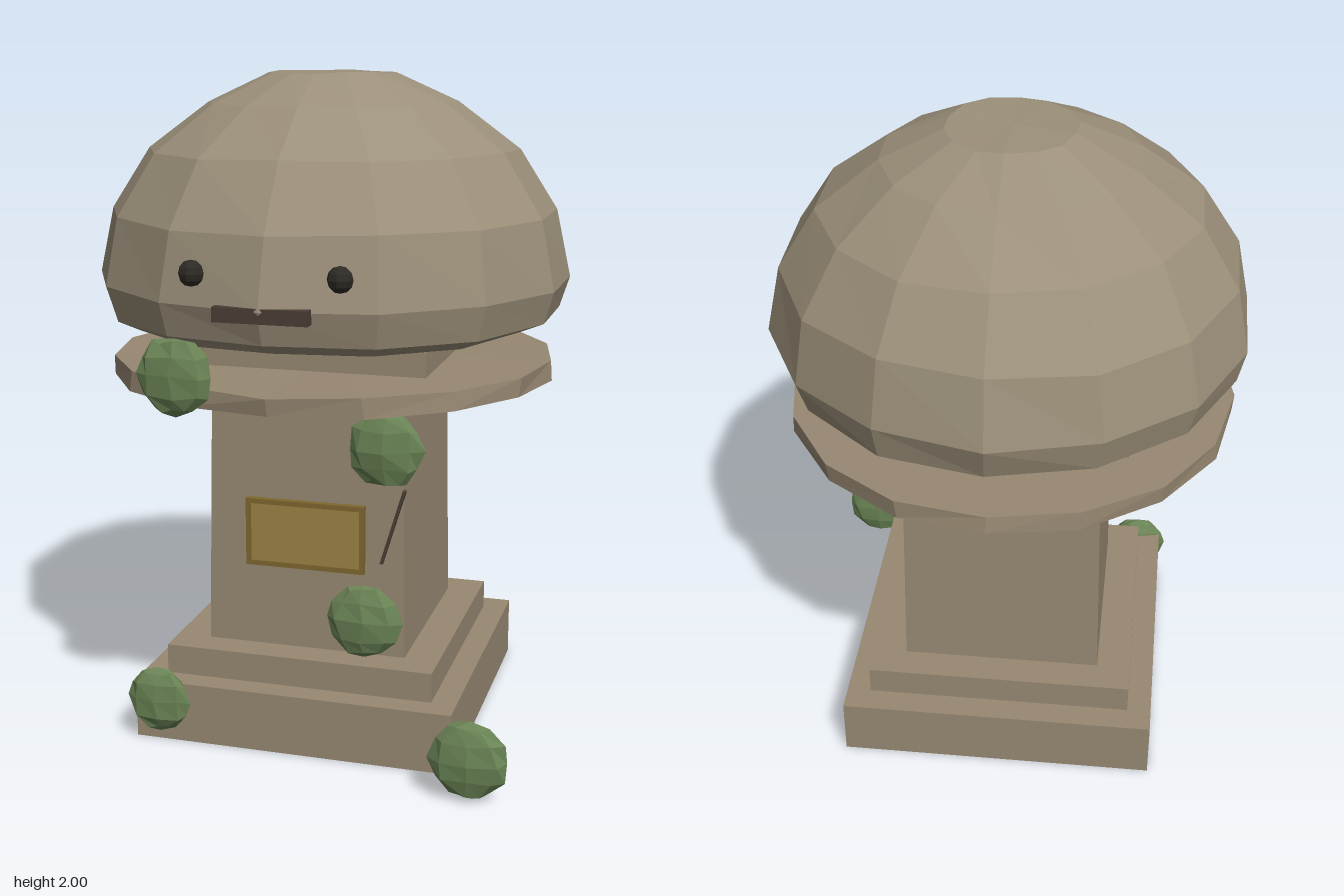
import * as THREE from 'three';

const mat = (color) => new THREE.MeshStandardMaterial({ color, flatShading: true });

// Small repeatable wobble; coincident vertices move together
function roughen(geo, amount, seed = 0) {
  const p = geo.attributes.position;
  const wave = (a) => Math.sin(a) * amount;
  for (let i = 0; i < p.count; i++) {
    const x = p.getX(i), y = p.getY(i), z = p.getZ(i);
    p.setXYZ(i,
      x + wave(x * 31 + y * 57 + z * 43 + seed),
      y + wave(x * 47 + y * 29 + z * 61 + seed * 2),
      z + wave(x * 59 + y * 41 + z * 37 + seed * 3));
  }
  geo.computeVertexNormals();
  return geo;
}

export function createModel() {
  const model = new THREE.Group();
  const stone = mat(0x978872), capStone = mat(0x9c907a);
  const moss = mat(0x6b8556), dark = mat(0x2e2a25);
  const gold = mat(0x9e8545), goldEdge = mat(0x7f672f), soot = mat(0x4a3f35);

  const add = (name, geo, material, x = 0, y = 0, z = 0) => {
    const mesh = new THREE.Mesh(geo, material);
    mesh.name = name;
    mesh.position.set(x, y, z);
    model.add(mesh);
    return mesh;
  };
  // Box given by its bottom and top heights
  const slab = (name, w, d, y0, y1, z, material = stone) =>
    add(name, new THREE.BoxGeometry(w, y1 - y0, d), material, 0, (y0 + y1) / 2, z);

  // Stepped base
  slab('basePlinth', 0.98, 0.98, 0, 0.185, -0.01);
  slab('upperPlinth', 0.83, 0.825, 0.185, 0.275, -0.008);

  // Slightly tapered pillar
  const shaft = new THREE.BoxGeometry(0.62, 0.81, 0.63);
  const sp = shaft.attributes.position;
  for (let i = 0; i < sp.count; i++) {
    if (sp.getY(i) > 0) {
      sp.setX(i, sp.getX(i) * 0.955);
      sp.setZ(i, sp.getZ(i) * 0.955);
    }
  }
  shaft.computeVertexNormals();
  add('pillar', shaft, stone, 0, 0.68, -0.007);

  // Round ledge and neck block
  add('ledge', roughen(new THREE.CylinderGeometry(0.68, 0.68, 0.055, 16), 0.004), stone, 0, 1.115, -0.008);
  slab('neck', 0.755, 0.755, 1.155, 1.23, -0.007);

  // Faceted dome
  const profile = [
    [0, 1.24], [0.4, 1.245], [0.62, 1.252], [0.69, 1.285], [0.72, 1.385],
    [0.68, 1.585], [0.56, 1.77], [0.38, 1.905], [0.19, 1.995], [0, 2],
  ].map(([r, y]) => new THREE.Vector2(r, y));
  const dome = roughen(new THREE.LatheGeometry(profile, 14), 0.004, 2);
  add('dome', dome, capStone);

  // Face
  for (const side of [-1, 1]) {
    add(side > 0 ? 'leftEye' : 'rightEye', new THREE.SphereGeometry(0.037, 8, 6), dark, side * 0.21, 1.475, 0.67);
  }
  add('mouth', new THREE.BoxGeometry(0.27, 0.042, 0.036), soot, 0, 1.374, 0.703);

  // Plaque with raised rim
  const rim = new THREE.Shape();
  rim.moveTo(-0.185, -0.105).lineTo(0.185, -0.105).lineTo(0.185, 0.105).lineTo(-0.185, 0.105).closePath();
  const opening = new THREE.Path();
  opening.moveTo(-0.17, -0.09).lineTo(-0.17, 0.09).lineTo(0.17, 0.09).lineTo(0.17, -0.09).closePath();
  rim.holes.push(opening);
  add('plaqueFrame', new THREE.ExtrudeGeometry(rim, { depth: 0.025, bevelEnabled: false }), goldEdge, 0, 0.635, 0.296);
  add('plaque', new THREE.BoxGeometry(0.35, 0.19, 0.018), gold, 0, 0.635, 0.306);

  // Crack in the stone
  const crack = add('crack', new THREE.BoxGeometry(0.009, 0.24, 0.02), soot, 0.271, 0.683, 0.307);
  crack.rotation.z = -0.29;

  // Flattened moss clumps
  [
    [-0.41, 0.135, 0.495, 0.1], [0.57, 0.125, 0.622, 0.115], [0.19, 0.39, 0.33, 0.115],
    [0.247, 0.92, 0.305, 0.115], [-0.278, 1.178, 0.64, 0.113],
  ].forEach(([x, y, z, r], i) => {
    const clump = roughen(new THREE.SphereGeometry(r, 8, 6), 0.006, i * 1.7);
    clump.scale(1, 1, 0.35);
    clump.computeVertexNormals();
    add('mossClump' + (i + 1), clump, moss, x, y, z);
  });

  return model;
}
